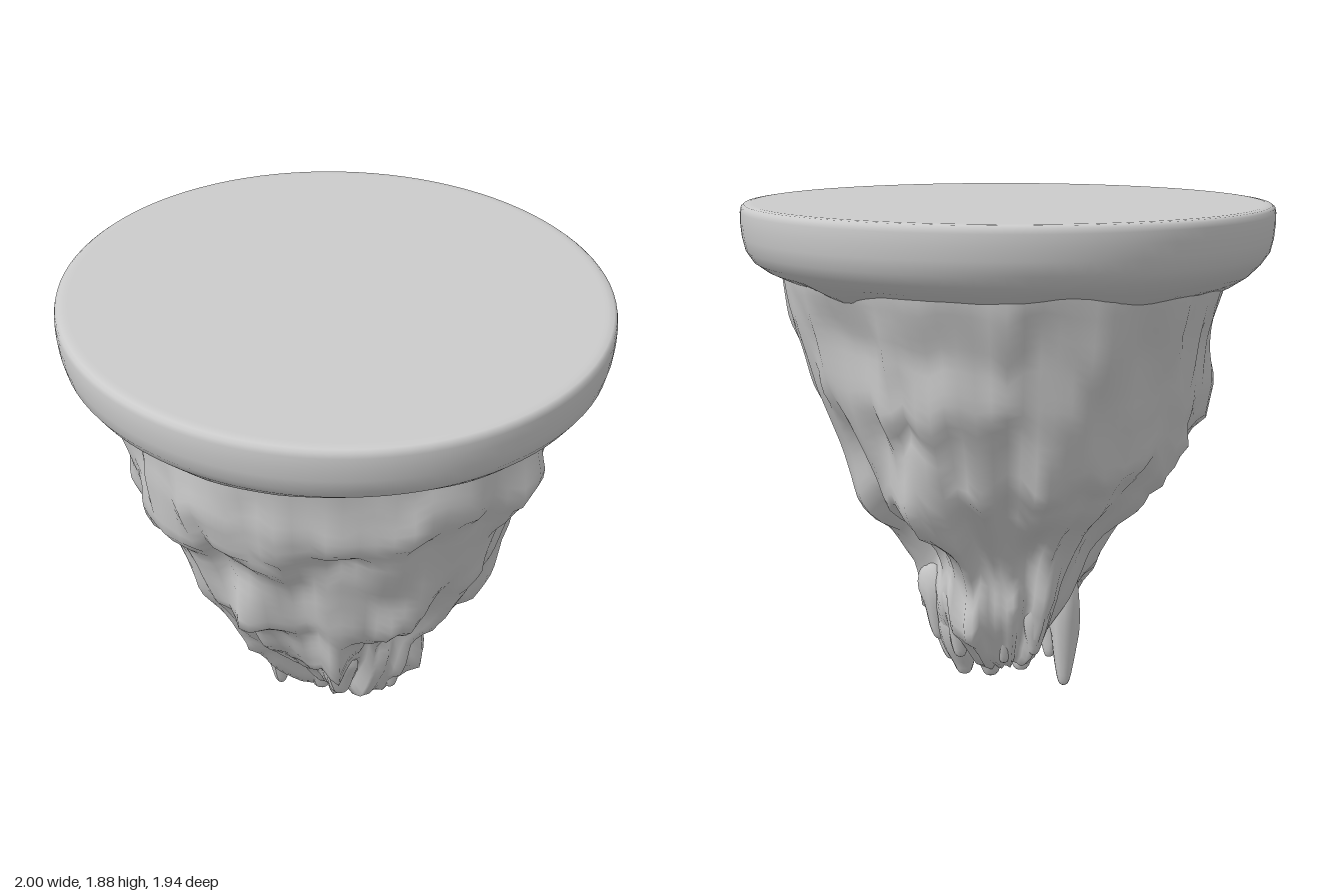
import * as THREE from 'three';

const material = new THREE.MeshStandardMaterial({ color: 0xcccccc, side: THREE.DoubleSide });

// Smooth value noise in 3D, -1..1
function hash(x, y, z) {
  const s = Math.sin(x * 127.1 + y * 311.7 + z * 74.7) * 43758.5453;
  return (s - Math.floor(s)) * 2 - 1;
}
function noise(x, y, z) {
  const i = [x, y, z].map(Math.floor);
  const [u, v, w] = [x - i[0], y - i[1], z - i[2]].map((t) => t * t * (3 - 2 * t));
  const mix = THREE.MathUtils.lerp;
  const edge = (dy, dz) => mix(hash(i[0], i[1] + dy, i[2] + dz), hash(i[0] + 1, i[1] + dy, i[2] + dz), u);
  return mix(mix(edge(0, 0), edge(1, 0), v), mix(edge(0, 1), edge(1, 1), v), w);
}

// Rock reach at each height: [y, +x, +z, -x, -z]
const reach = [
  [1.72, 0.85, 0.82, 0.85, 0.84],
  [1.60, 0.83, 0.80, 0.83, 0.82],
  [1.40, 0.79, 0.77, 0.78, 0.75],
  [1.20, 0.73, 0.71, 0.73, 0.71],
  [1.00, 0.65, 0.62, 0.64, 0.63],
  [0.80, 0.57, 0.57, 0.52, 0.55],
  [0.68, 0.48, 0.50, 0.41, 0.44],
  [0.58, 0.40, 0.44, 0.35, 0.36],
  [0.50, 0.35, 0.37, 0.32, 0.32],
  [0.38, 0.33, 0.30, 0.27, 0.32],
  [0.24, 0.28, 0.21, 0.18, 0.28],
  [0.14, 0.22, 0.14, 0.12, 0.21],
  [0.10, 0.14, 0.09, 0.08, 0.14],
];

function reachAt(y, angle) {
  let k = 0;
  while (k < reach.length - 2 && y < reach[k + 1][0]) k++;
  const [a, b] = [reach[k], reach[k + 1]];
  const t = THREE.MathUtils.clamp((a[0] - y) / (a[0] - b[0]), 0, 1);
  const side = (n) => THREE.MathUtils.lerp(a[n], b[n], t);
  const c = Math.cos(angle), s = Math.sin(angle);
  return side(c > 0 ? 1 : 3) * c * c + side(s > 0 ? 2 : 4) * s * s;
}

// Overhanging crags: [angle in degrees, y of the lower edge, size]
const crags = [
  [0, 0.7, 0.08], [8, 0.88, 0.06], [92, 0.78, 0.08], [84, 1.14, 0.05], [180, 0.92, 0.05], [172, 1.15, 0.05],
  [272, 0.7, 0.08], [265, 0.82, 0.05], [270, 1.14, 0.05], [0, 0.3, 0.05], [268, 0.3, 0.05], [70, 0.47, 0.09],
  [5, 1.26, 0.05], [130, 0.46, 0.06], [45, 0.72, 0.06], [310, 0.72, 0.06],
];
for (let k = 0; k < 36; k++) {
  crags.push([(k * 137.5) % 360, 0.62 + 0.8 * ((k * 0.618) % 1), 0.045 + 0.02 * hash(k, 1, 2)]);
}

function cragHeight(y, angle) {
  let height = 0;
  for (const [degrees, edge, size] of crags) {
    const turn = angle - THREE.MathUtils.degToRad(degrees);
    const across = Math.atan2(Math.sin(turn), Math.cos(turn)) * Math.max(0.3, reachAt(edge, angle)) / 0.1;
    const dy = y - edge;
    const along = dy > 0 ? 1 - dy / 0.26 : 1 + dy / 0.05;
    height = Math.max(height, size * Math.max(0, along) * Math.exp(-across * across));
  }
  return height;
}

// Rock surface point: vertical flutes, crags and fine roughness
function rockPoint(y, angle) {
  const c = Math.cos(angle), s = Math.sin(angle);
  const flutes = noise(c * 4.3 + 9, y * 1.3, s * 4.3 + 5);
  const lumps = noise(c * 6 + 20, y * 3.4, s * 6 + 31);
  const fine = noise(c * 12 + 3, y * 5, s * 12 + 8);
  const strength = THREE.MathUtils.clamp((1.75 - y) * 3, 0.2, 1);
  const r = reachAt(y, angle) + strength * (0.04 * flutes + 0.03 * lumps + 0.022 * fine + cragHeight(y, angle));
  const sag = strength * 0.07 * noise(c * 8 + 40, y * 2, s * 8 + 12);
  return [c * r, y + sag * Math.min(1, y * 3), s * r];
}

// Closed surface from stacked rings, top to bottom
function rockGeometry(rows, cols) {
  const positions = [], index = [];
  for (let i = 0; i <= rows; i++) {
    const y = THREE.MathUtils.lerp(1.72, 0.1, i / rows);
    for (let j = 0; j < cols; j++) positions.push(...rockPoint(y, (j / cols) * Math.PI * 2));
  }
  const tip = positions.length / 3;
  positions.push(0.02, 0.12, -0.02);
  for (let i = 0; i < rows; i++) {
    for (let j = 0; j < cols; j++) {
      const n = (j + 1) % cols;
      const a = i * cols + j, b = i * cols + n, d = a + cols, e = b + cols;
      index.push(a, b, d, b, e, d);
    }
  }
  for (let j = 0; j < cols; j++) index.push(rows * cols + j, rows * cols + ((j + 1) % cols), tip);
  const geometry = new THREE.BufferGeometry();
  geometry.setAttribute('position', new THREE.Float32BufferAttribute(positions, 3));
  geometry.setIndex(index);
  geometry.computeVertexNormals();
  return geometry;
}

// Hanging spike: long taper at the top, blunt tip, leaning into the rock
function spike(x, z, top, bottom, radius, leanX, leanZ) {
  const h = top - bottom;
  const profile = [[0, 0], [0.3, 0.02], [0.5, 0.12], [0.75, 0.35], [0.95, 0.6], [0.8, 0.8], [0.45, 0.94], [0, 1]];
  const points = new THREE.SplineCurve(profile.map(([r, y]) => new THREE.Vector2(r * radius, y * h))).getPoints(16);
  points.forEach((p) => { p.x = Math.max(0, p.x); p.y = THREE.MathUtils.clamp(p.y, 0, h); });
  const geometry = new THREE.LatheGeometry(points, 12);
  const pos = geometry.attributes.position;
  for (let i = 0; i < pos.count; i++) {
    const t = pos.getY(i) / h;
    const wobble = 1 + 0.3 * noise(pos.getX(i) * 18 + x * 50, t * 3, pos.getZ(i) * 18 + z * 50);
    pos.setXYZ(i, pos.getX(i) * wobble + leanX * t, pos.getY(i), pos.getZ(i) * wobble + leanZ * t);
  }
  geometry.computeVertexNormals();
  const mesh = new THREE.Mesh(geometry, material);
  mesh.position.set(x, bottom, z);
  mesh.name = 'hangingSpike';
  return mesh;
}

export function createModel() {
  const model = new THREE.Group();
  model.name = 'floatingIsland';

  // Smooth round slab whose underside slopes into the rock with a wavy edge
  const rim = [[0.74, 1.58], [0.8, 1.585], [0.85, 1.605], [0.91, 1.635], [0.955, 1.67], [0.983, 1.71], [0.995, 1.76],
    [1, 1.81], [1, 1.85], [0.996, 1.868], [0.985, 1.877], [0.965, 1.88], [0.95, 1.88], [0, 1.88]];
  const slabGeometry = new THREE.LatheGeometry(rim.map(([r, y]) => new THREE.Vector2(r, y)), 96);
  const pos = slabGeometry.attributes.position;
  for (let i = 0; i < pos.count; i++) {
    const [x, y, z] = [pos.getX(i), pos.getY(i), pos.getZ(i)];
    const wave = THREE.MathUtils.clamp((1.67 - y) * 12, 0, 1);
    pos.setXYZ(i, x, y + 0.025 * wave * noise(x * 5 + 11, 3, z * 5 + 17), z * 0.97);
  }
  const slab = new THREE.Mesh(slabGeometry, material);
  slab.name = 'topSlab';
  model.add(slab);

  // Tapering rock below
  const rock = new THREE.Mesh(rockGeometry(40, 84), material);
  rock.name = 'rockUnderside';
  model.add(rock);

  // Spikes: x, z, top, bottom, radius, lean of the top
  const spikes = new THREE.Group();
  spikes.name = 'hangingSpikes';
  [
    [-0.22, 0.06, 0.56, 0, 0.075, 0.02, 0.04],
    [-0.13, 0.1, 0.46, 0.09, 0.06, 0, 0.04],
    [-0.04, 0.04, 0.4, 0.04, 0.075, -0.02, 0.04],
    [0.06, 0.06, 0.36, 0.07, 0.07, 0.02, 0.04],
    [0.12, 0.18, 0.5, 0.19, 0.08, 0, 0.04],
    [0.14, 0, 0.4, 0.07, 0.08, 0, 0],
    [0.2, -0.08, 0.42, 0.08, 0.08, 0.02, -0.02],
    [0.26, 0.02, 0.44, 0.15, 0.06, 0.02, 0],
    [0.1, -0.16, 0.42, 0.06, 0.08, 0, -0.04],
    [0, -0.13, 0.45, 0.06, 0.08, 0, -0.05],
    [0.06, -0.25, 0.54, 0.16, 0.065, 0, -0.02],
    [-0.09, -0.18, 0.54, 0.14, 0.065, -0.03, -0.04],
    [-0.17, -0.09, 0.54, 0.16, 0.065, -0.05, -0.02],
    [0.18, -0.2, 0.54, 0.2, 0.07, 0.02, -0.02],
  ].forEach((s) => spikes.add(spike(...s)));
  model.add(spikes);

  return model;
}
